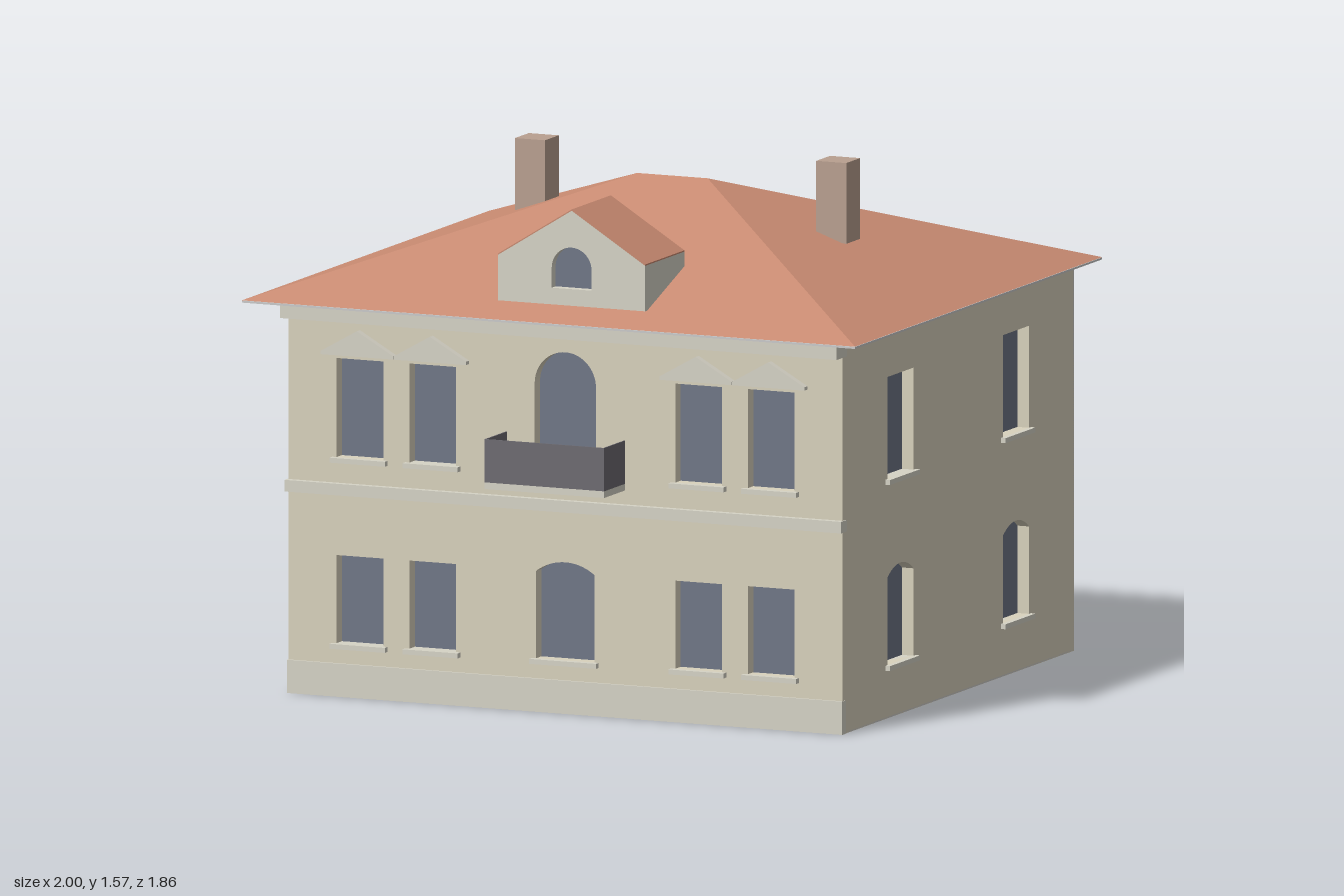
import * as THREE from 'three';

const mat = (color, side = THREE.FrontSide) =>
  new THREE.MeshStandardMaterial({ color, side, flatShading: true });
const GREY = mat(0xcccccc), WALL = mat(0xd9d2bd), TRIM = mat(0xd6d3c6);
const GLASS = mat(0x6f7686, THREE.DoubleSide), ROOF = mat(0xc98b72);
const CHIMNEY = mat(0xb9a090), RAIL = mat(0x6c6a70, THREE.DoubleSide);

const TOP = 1.177, REVEAL = 0.04;

function add(parent, name, geometry, material) {
  const mesh = new THREE.Mesh(geometry, material);
  mesh.name = name;
  parent.add(mesh);
  return mesh;
}

// Box given by its minimum and maximum on each axis
function box(parent, name, material, x0, x1, y0, y1, z0, z1) {
  const m = add(parent, name, new THREE.BoxGeometry(x1 - x0, y1 - y0, z1 - z0), material);
  m.position.set((x0 + x1) / 2, (y0 + y1) / 2, (z0 + z1) / 2);
  return m;
}

const polygon = (pts) => new THREE.Shape(pts.map(([x, y]) => new THREE.Vector2(x, y)));

// Extrusion whose outer face lies at z = front
function extrude(shape, depth, front = 0) {
  return new THREE.ExtrudeGeometry(shape, { depth, bevelEnabled: false, curveSegments: 16 })
    .translate(0, 0, front - depth);
}

// Window outline: square head (rise 0) or circular arch of the given rise
function opening({ x, w, y0, y1, rise = 0 }) {
  const h = w / 2, spring = y1 - rise;
  const s = new THREE.Shape();
  s.moveTo(x - h, y0);
  s.lineTo(x + h, y0);
  s.lineTo(x + h, spring);
  if (rise) {
    const r = (h * h + rise * rise) / (2 * rise);
    const a = Math.asin(Math.min(1, h / r));
    s.absarc(x, y1 - r, r, Math.PI / 2 - a, Math.PI / 2 + a, false);
  } else s.lineTo(x - h, spring);
  s.closePath();
  return s;
}

// Pierced wall with recessed panes and sills; local +z points outward
function wall(name, outline, material, windows, depth = REVEAL) {
  const g = new THREE.Group();
  g.name = name;
  const shape = polygon(outline);
  for (const w of windows) {
    shape.holes.push(opening(w));
    const pane = add(g, 'windowPane', new THREE.ShapeGeometry(opening(w), 16), GLASS);
    pane.position.z = -depth + 0.002;
    if (w.sill) {
      const h = w.w / 2 + 0.014;
      box(g, 'windowSill', TRIM, w.x - h, w.x + h, w.y0 - 0.015, w.y0, -REVEAL, w.sill);
    }
  }
  add(g, name + 'Surface', extrude(shape, depth), material);
  return g;
}

const rect = (x0, x1, y0, y1) => [[x0, y0], [x1, y0], [x1, y1], [x0, y1]];

export function createModel() {
  const house = new THREE.Group();
  house.name = 'house';

  // Front wall
  const frontWindows = [
    { x: 0.03, w: 0.19, y0: 0.16, y1: 0.455, rise: 0.032, sill: 0.02 },
    { x: 0.03, w: 0.2, y0: 0.7, y1: 1.087, rise: 0.1 },
  ];
  for (const x of [-0.64, -0.402, 0.465, 0.702]) {
    frontWindows.push({ x, w: 0.152, y0: 0.16, y1: 0.425, sill: 0.02 });
    frontWindows.push({ x, w: 0.152, y0: 0.72, y1: 1.018, sill: 0.02 });
    // Pediment over the upper window
    const ped = polygon([[x - 0.118, 1.03], [x + 0.118, 1.03], [x + 0.118, 1.04],
      [x, 1.107], [x - 0.118, 1.04]]);
    add(house, 'pediment', extrude(ped, 0.03, 0.803), TRIM);
  }
  const front = wall('frontWall', rect(-0.873, 0.935, 0, TOP), WALL, frontWindows);
  front.position.z = 0.78;
  house.add(front);

  // Side walls; the one at -x runs slightly askew
  const sideWindows = (sign) => [0.368, -0.457].flatMap((z) => {
    const x = sign * (z + 0.045);
    return [
      { x, w: 0.186, y0: 0.16, y1: 0.455, rise: 0.032, sill: 0.015 },
      { x, w: 0.186, y0: 0.72, y1: 1.027, sill: 0.015 },
    ];
  });
  const right = wall('sideWall', rect(-0.825, 0.825, 0, TOP), WALL, sideWindows(-1));
  right.rotation.y = Math.PI / 2;
  right.position.set(0.935, 0, -0.045);
  const left = wall('skewedSideWall', rect(-0.825, 0.825, 0, TOP), WALL, sideWindows(1));
  left.rotation.y = -Math.PI / 2 + Math.atan2(0.062, 1.65);
  left.position.set(-0.904, 0, -0.045);
  house.add(right, left);

  // Plain back wall and floor
  box(house, 'backWall', GREY, -0.935, 0.935, 0, TOP, -0.872, -0.85);
  const plan = polygon([[-0.935, -0.871], [0.935, -0.871], [0.935, 0.78], [-0.873, 0.78]]);
  const floor = add(house, 'floor', extrude(plan, 0.004).rotateX(Math.PI / 2), GREY);
  floor.position.y = -0.001 + 0.001;

  // Front mouldings
  box(house, 'plinth', TRIM, -0.875, 0.937, 0, 0.1, 0.76, 0.788);
  box(house, 'stringCourse', TRIM, -0.877, 0.939, 0.608, 0.643, 0.76, 0.8);
  box(house, 'cornice', TRIM, -0.877, 0.939, 1.135, TOP, 0.76, 0.833);

  // Balcony with thin parapet panels
  box(house, 'balconySlab', TRIM, -0.165, 0.225, 0.685, 0.705, 0.77, 0.93);
  box(house, 'balconyFront', RAIL, -0.165, 0.225, 0.705, 0.835, 0.926, 0.93);
  for (const x of [-0.165, 0.221])
    box(house, 'balconySide', RAIL, x, x + 0.004, 0.705, 0.835, 0.78, 0.93);

  // Hipped roof and its flat soffit
  const E = 1.18, R = 1.49;
  const a = [-1, E, 0.835], b = [1, E, 0.835], c = [1, E, -0.93], d = [-1, E, -0.93];
  const p = [-0.115, R, -0.05], q = [0.115, R, -0.05];
  const faces = [a, b, q, a, q, p, b, c, q, c, d, p, c, p, q, d, a, p];
  const roof = new THREE.BufferGeometry();
  roof.setAttribute('position', new THREE.Float32BufferAttribute(faces.flat(), 3));
  roof.computeVertexNormals();
  add(house, 'hippedRoof', roof, ROOF);
  box(house, 'soffit', GREY, -1, 1, 1.173, 1.179, -0.93, 0.835);

  // Chimneys
  for (const x of [-0.45, 0.533])
    box(house, 'chimney', CHIMNEY, x - 0.049, x + 0.049, 1.33, 1.573, -0.117, -0.018);

  // Dormer: gabled block, pierced gable front, two roof slopes
  const dormer = new THREE.Group();
  dormer.name = 'dormer';
  dormer.position.set(0.03, 0, 0.735);
  const gable = [[-0.24, 1.22], [0.24, 1.22], [0.24, 1.357], [0, 1.506], [-0.24, 1.357]];
  dormer.add(wall('dormerFront', gable, TRIM,
    [{ x: 0, w: 0.13, y0: 1.27, y1: 1.395, rise: 0.065 }], 0.03));
  add(dormer, 'dormerBody', extrude(polygon(gable), 0.25, -0.03), TRIM);
  for (const s of [-1, 1]) {
    const pts = [[s * 0.24, 1.357], [s * 0.24, 1.361], [0, 1.51], [0, 1.506]];
    add(dormer, 'dormerRoof', extrude(polygon(pts), 0.28), ROOF);
  }
  house.add(dormer);

  return house;
}
